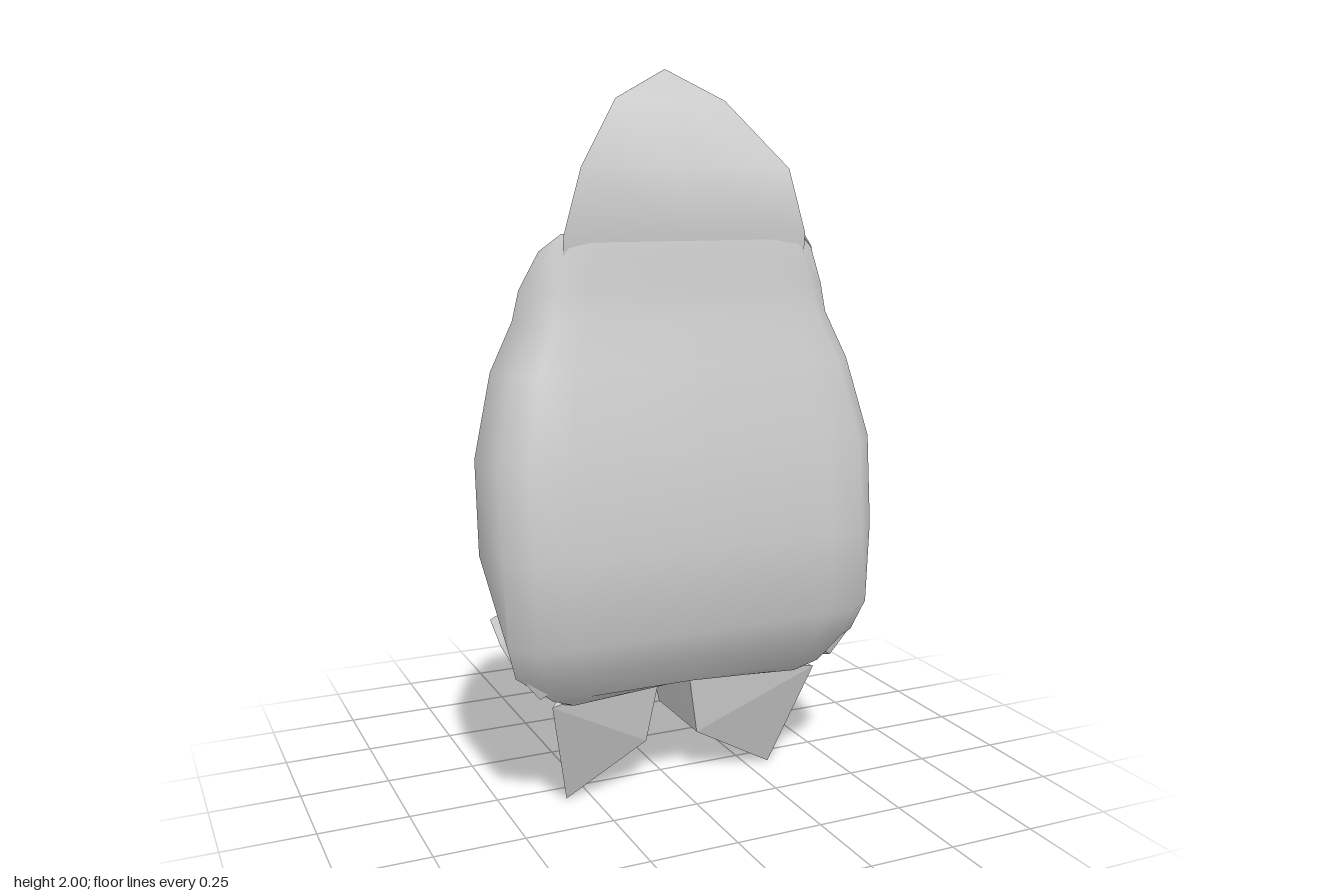
import * as THREE from 'three';
import { toCreasedNormals } from 'three/addons/utils/BufferGeometryUtils.js';
import { ConvexGeometry } from 'three/addons/geometries/ConvexGeometry.js';

const V = (x, y, z) => new THREE.Vector3(x, y, z);
const grey = new THREE.MeshStandardMaterial({ color: 0xcccccc });
const greyThin = new THREE.MeshStandardMaterial({ color: 0xcccccc, side: THREE.DoubleSide });

function build(points, index, crease) {
  const g = new THREE.BufferGeometry();
  g.setAttribute('position', new THREE.Float32BufferAttribute(points.flatMap(p => [p.x, p.y, p.z]), 3));
  g.setIndex(index);
  return toCreasedNormals(g, crease);
}

// Skins mirrored half sections (back centre to front centre), listed from top to bottom.
function loft(sections, crease, rule = p => p) {
  const rings = sections.map(half => [
    ...half, ...half.slice(1, -1).reverse().map(p => V(-p.x, p.y, p.z)),
  ].map(rule));
  const n = rings[0].length, points = rings.flat(), index = [];
  for (let i = 0; i < rings.length - 1; i++) {
    for (let j = 0; j < n; j++) {
      const k = (j + 1) % n, a = i * n + j, b = i * n + k;
      index.push(a, b, a + n, b, b + n, a + n);
    }
  }
  const cap = (start, flip) => {
    const c = V(0, 0, 0);
    for (let j = 0; j < n; j++) c.addScaledVector(points[start + j], 1 / n);
    const m = points.push(c) - 1;
    for (let j = 0; j < n; j++) {
      const a = start + j, b = start + (j + 1) % n;
      index.push(m, flip ? b : a, flip ? a : b);
    }
  };
  cap(0, true);
  cap((rings.length - 1) * n, false);
  return build(points, index, crease);
}

// Slanted mouth of each thruster: centre, outward normal, long axis
const MOUTH = V(0.472, 0.46, 0.135);
const OUT = V(0.75, -0.55, -0.35).normalize();
const LONG = V(0.13, 0.24, -0.13).projectOnPlane(OUT).normalize();

function hullGeometry() {
  // y, spine z, shoulder x z, flank x z, belly edge x z
  const rows = [
    [2.0, 0.025, 0.001, 0.026, 0.002, 0.028, 0.002, 0.03],
    [1.92, -0.02, 0.08, 0, 0.145, 0.055, 0.16, 0.07],
    [1.74, -0.1, 0.17, 0.02, 0.27, 0.13, 0.3, 0.18],
    [1.57, -0.165, 0.13, -0.1, 0.29, 0.05, 0.35, 0.184],
    [1.4, -0.225, 0.11, -0.2, 0.26, -0.07, 0.35, 0.17],
    [1.34, -0.245, 0.13, -0.21, 0.265, -0.09, 0.35, 0.15],
    [1.12, -0.285, 0.14, -0.235, 0.27, -0.09, 0.35, 0.15],
    [0.8, -0.265, 0.14, -0.23, 0.27, -0.08, 0.36, 0.15],
    [0.6, -0.29, 0.145, -0.245, 0.27, -0.08, 0.37, 0.15],
    [0.53, -0.315, 0.15, -0.255, 0.27, -0.07, 0.37, 0.15],
    [0.44, -0.265, 0.11, -0.215, 0.24, -0.04, 0.37, 0.15],
    [0.355, -0.22, 0.04, -0.2, 0.17, -0.03, 0.33, 0.15],
  ];
  return loft(rows.map(([y, zb, s, zs, m, zm, w, zf]) => [
    V(0, y, zb), V(s, y, zs), V(m, y, zm), V(w, y, zf), V(0, y, zf),
  ]), 0.75);
}

function wingBodyGeometry() {
  // y, half width, back z, front z
  const rows = [
    [1.575, 0.35, 0.16, 0.178], [1.53, 0.4, 0.09, 0.187], [1.43, 0.442, 0.01, 0.195],
    [1.35, 0.457, -0.025, 0.21], [1.22, 0.52, -0.045, 0.24], [1.0, 0.575, -0.035, 0.29],
    [0.75, 0.575, -0.015, 0.315], [0.52, 0.565, 0.01, 0.31], [0.43, 0.535, 0.035, 0.265],
    [0.35, 0.48, 0.08, 0.215], [0.315, 0.4, 0.13, 0.19],
  ];
  const profile = [[0, 0], [0.54, 0], [0.68, 0.035], [0.82, 0.1], [0.94, 0.22],
    [1, 0.45], [0.95, 0.78], [0.84, 0.96], [0.66, 1], [0, 1]];
  // Flatten the corners behind the thruster mouths
  const floor = MOUTH.clone().addScaledVector(OUT, -0.02);
  const rule = p => {
    const side = p.x < 0 ? -1 : 1, q = V(p.x * side, p.y, p.z);
    const d = q.clone().sub(floor).dot(OUT);
    if (d > 0 && q.x > 0.2 && q.y < 0.53 && q.z < 0.19) q.addScaledVector(OUT, -d);
    if (p.y < 0.32) q.y += 0.035 * Math.max(0, 1 - q.x / 0.4);
    q.x *= side;
    return q;
  };
  return loft(rows.map(([y, w, zb, zf]) =>
    profile.map(([u, t]) => V(u * w, y, zb + t * (zf - zb)))), 0.8, rule);
}

function addCanopy(group) {
  // y, half width, edge z, centre z
  const rows = [[1.915, 0.04, -0.022, -0.03], [1.89, 0.09, -0.005, -0.045], [1.75, 0.18, 0.03, -0.11],
    [1.65, 0.15, -0.06, -0.15], [1.52, 0.125, -0.155, -0.194], [1.42, 0.085, -0.207, -0.222],
    [1.39, 0.03, -0.226, -0.23]];
  const n = 8, points = [], index = [], left = [], right = [];
  rows.forEach(([y, w, ze, zc], i) => {
    for (let j = 0; j <= n; j++) {
      const u = 2 * j / n - 1;
      points.push(V(u * w, y, ze + (zc - ze) * Math.cos(u * Math.PI / 2) - 0.005));
      const a = i * (n + 1) + j;
      if (i && j) index.push(a, a - n - 1, a - 1, a - 1, a - n - 1, a - n - 2);
    }
    right.push(V(-w, y, ze - 0.003));
    left.unshift(V(w, y, ze - 0.003));
  });
  const glass = new THREE.Mesh(build(points, index, 0.8), greyThin);
  glass.name = 'canopy';
  // Narrow frame along the outline
  const path = new THREE.CurvePath(), outline = [...right, ...left];
  outline.forEach((p, i) => path.add(new THREE.LineCurve3(p, outline[(i + 1) % outline.length])));
  const frame = new THREE.Mesh(new THREE.TubeGeometry(path, 90, 0.007, 5, true), grey);
  frame.name = 'canopyFrame';
  group.add(glass, frame);
}

// Octagonal thruster ring with a recessed dish
function thruster() {
  const profile = [[1, -0.04], [1, 0.004], [0.89, 0.004], [0.78, -0.016], [0.001, -0.018]];
  const g = new THREE.LatheGeometry(profile.map(([r, y]) => new THREE.Vector2(r, y)), 8, Math.PI / 8);
  g.scale(0.085, 1, 0.135);
  const across = new THREE.Vector3().crossVectors(OUT, LONG);
  g.applyMatrix4(new THREE.Matrix4().makeBasis(across, OUT, LONG).setPosition(MOUTH));
  return new THREE.Mesh(toCreasedNormals(g, 0.5), greyThin);
}

// Solid tail wedge: a slanted outer face, a front face and an inner face
function tailFin() {
  return new THREE.Mesh(new ConvexGeometry([
    V(0.4, 0.325, 0.19), V(0.32, 0, 0.07), V(0.135, 0.1, -0.13), V(0.08, 0.135, -0.19),
    V(0.04, 0.35, -0.215), V(0.055, 0.45, -0.205),
    V(0.08, 0.135, 0.08), V(0.04, 0.36, 0.1),
  ]), grey);
}

export function createModel() {
  const model = new THREE.Group();
  model.name = 'spacecraft';
  const hull = new THREE.Mesh(hullGeometry(), grey);
  hull.name = 'hull';
  const wings = new THREE.Mesh(wingBodyGeometry(), grey);
  wings.name = 'wingBody';
  model.add(hull, wings);
  addCanopy(model);
  for (const side of [1, -1]) {
    const half = new THREE.Group();
    half.name = side > 0 ? 'leftTail' : 'rightTail';
    const ring = thruster(), fin = tailFin();
    ring.name = 'thruster';
    fin.name = 'tailFin';
    half.add(ring, fin);
    half.scale.x = side;
    model.add(half);
  }
  return model;
}
